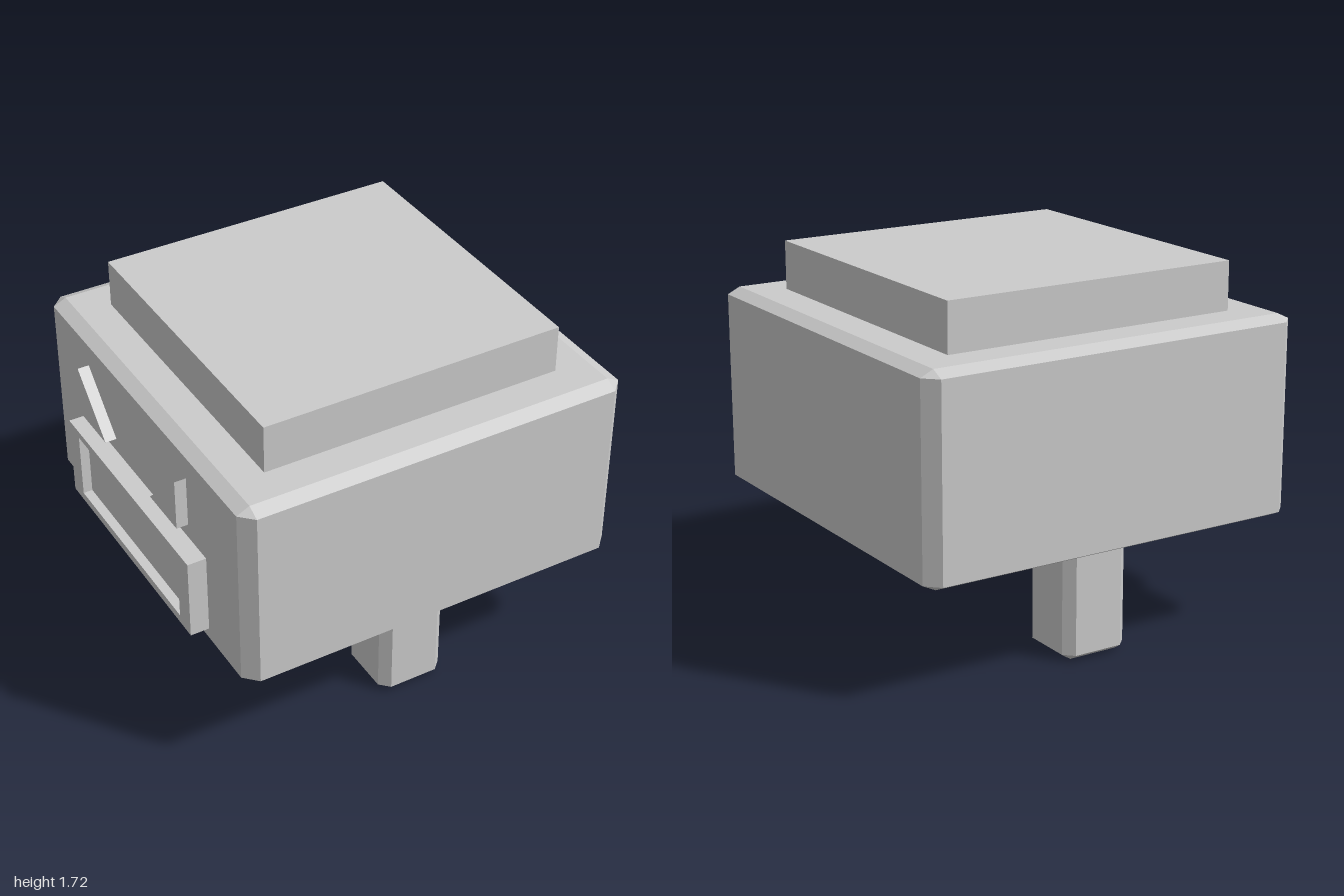
import * as THREE from 'three';
import { ConvexGeometry } from 'three/addons/geometries/ConvexGeometry.js';

const material = new THREE.MeshStandardMaterial({ color: 0xcccccc, flatShading: true });

function part(name, geometry, x, y, z) {
  const mesh = new THREE.Mesh(geometry, material);
  mesh.name = name;
  mesh.position.set(x, y, z);
  return mesh;
}

// Box with every edge chamfered: bx, by, bz are the insets along each axis
function chamferBox(w, h, d, bx, by, bz) {
  const points = [];
  for (const sx of [-1, 1]) for (const sy of [-1, 1]) for (const sz of [-1, 1]) {
    const [x, y, z] = [w / 2, h / 2, d / 2];
    points.push(
      new THREE.Vector3(sx * x, sy * (y - by), sz * (z - bz)),
      new THREE.Vector3(sx * (x - bx), sy * y, sz * (z - bz)),
      new THREE.Vector3(sx * (x - bx), sy * (y - by), sz * z));
  }
  return new ConvexGeometry(points);
}

// Outline drawn in (z, y) and extruded towards -x
function facePlate(shape, depth) {
  return new THREE.ExtrudeGeometry(shape, { depth, bevelEnabled: false }).rotateY(-Math.PI / 2);
}

const outline = (...pts) => new THREE.Shape(pts.map(([z, y]) => new THREE.Vector2(z, y)));

export function createModel() {
  const model = new THREE.Group();
  model.name = 'boxCharacter';

  // Main block and the slab on top of it
  model.add(part('body', chamferBox(1.91, 0.95, 1.91, 0.062, 0.03, 0.062), 0.045, 1.01, 0));
  model.add(part('topSlab', new THREE.BoxGeometry(1.465, 0.26, 1.465), 0.0425, 1.585, -0.003));

  // Legs and eyes, mirrored in z
  for (const side of [1, -1]) {
    const end = side > 0 ? 'Front' : 'Back';
    model.add(part('leg' + end, chamferBox(0.33, 0.6, 0.33, 0.045, 0.03, 0.045), 0.042, 0.3, side * 0.63 - 0.003));
    const eye = outline([side * 0.48, 1.13], [side * 0.48, 1.38], [side * 0.225, 1.13]);
    model.add(part('eye' + end, facePlate(eye, 0.055), -0.93, 0, 0));
  }

  // Mouth: a raised frame around a shallow recess
  const frame = outline([-0.6, 0.62], [0.6, 0.62], [0.6, 1.02], [-0.6, 1.02]);
  frame.holes.push(outline([-0.5, 0.66], [-0.5, 0.985], [0.5, 0.985], [0.5, 0.66]));
  model.add(part('mouthFrame', facePlate(frame, 0.09), -0.91, 0, 0));
  model.add(part('mouthPanel', new THREE.BoxGeometry(0.05, 0.325, 1), -0.93, 0.8225, 0));

  return model;
}
